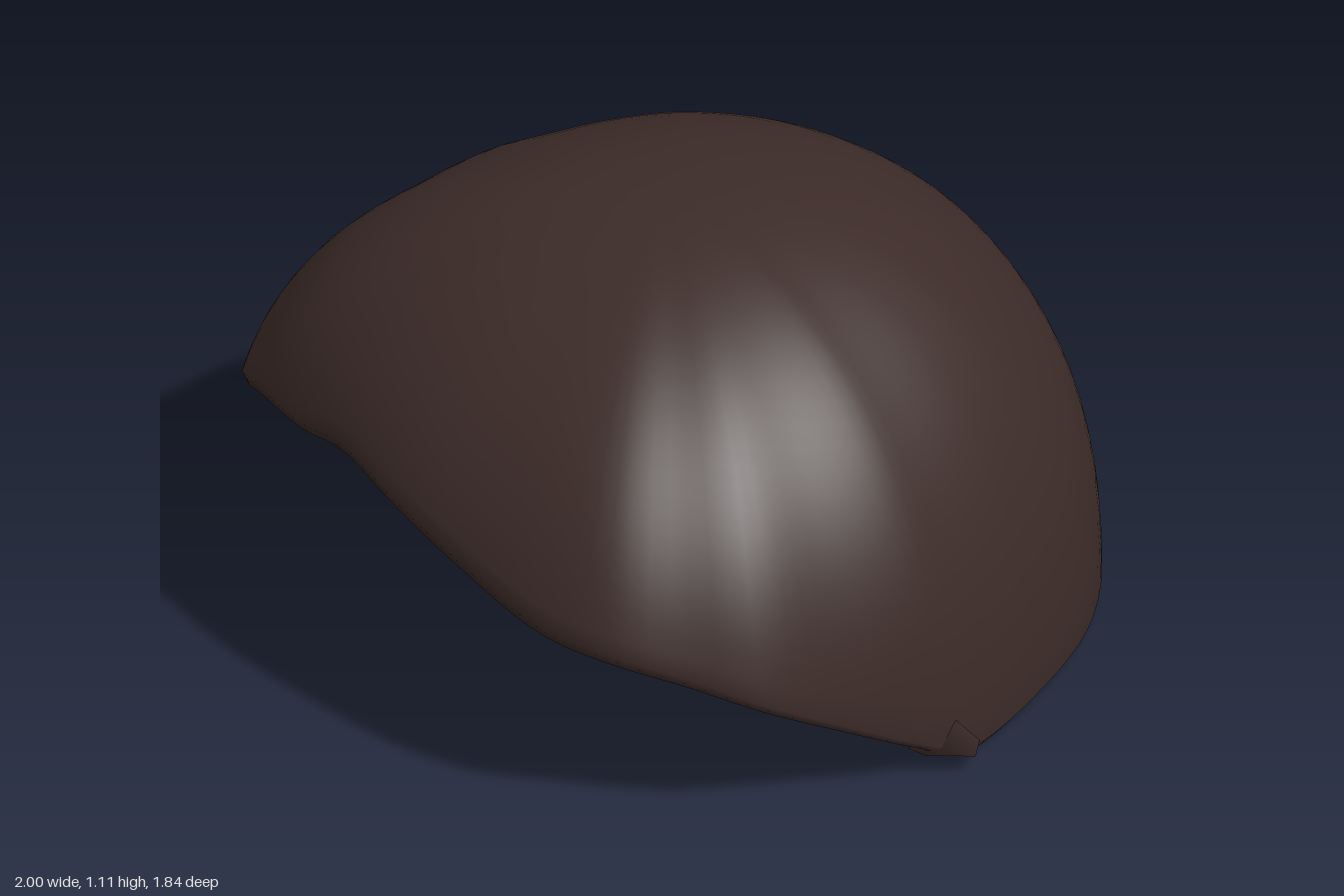
import * as THREE from 'three';
import { mergeVertices } from 'three/addons/utils/BufferGeometryUtils.js';
import { ConvexGeometry } from 'three/addons/geometries/ConvexGeometry.js';

const APEX = new THREE.Vector3(0, 1.1, 0.1);
const COLUMNS = 120, ROWS = 26;

// Open edge of the cap: front brow, left side, nape, right side
const RIM = [
  [0, 0.61, 0.91], [0.2, 0.57, 0.915], [0.5, 0.5, 0.89], [0.67, 0.475, 0.825],
  [0.79, 0.42, 0.7], [0.89, 0.35, 0.57], [0.93, 0.22, 0.35], [0.95, 0.09, 0.13], [0.94, 0.02, 0],
  [0.85, 0.02, -0.3], [0.7, 0.025, -0.57], [0.4, 0.02, -0.82], [0, 0.025, -0.92],
  [-0.4, 0.02, -0.82], [-0.7, 0.025, -0.57], [-0.85, 0.02, -0.3], [-0.94, 0.02, 0],
  [-0.95, 0.09, 0.13], [-0.94, 0.22, 0.35], [-0.9, 0.36, 0.56], [-0.8, 0.46, 0.69],
  [-0.64, 0.55, 0.785], [-0.4, 0.6, 0.855], [-0.24, 0.635, 0.875],
].map(p => new THREE.Vector3(...p));

// One rib: down the outside from the crown, round the lip, back up the inside
function rib(rim) {
  const dx = rim.x - APEX.x, dz = rim.z - APEX.z;
  const forward = Math.max(0, dz / Math.hypot(dx, dz));
  const power = 2 / THREE.MathUtils.lerp(2.28, 2, forward);
  // Towards the brow the curve stops early, so it meets the rim at a slope
  const end = Math.PI / 2 * (1 - 0.17 * THREE.MathUtils.smoothstep(forward, 0, 0.8));
  const sin = t => Math.sin(t * end) ** power;
  const cos = t => Math.max(0, Math.cos(t * end)) ** power;
  const at = (t, scale, rimY, topY) => {
    const f = sin(t) / sin(1) * scale;
    const g = (cos(t) - cos(1)) / (1 - cos(1));
    return [APEX.x + dx * f, rimY + (topY - rimY) * g, APEX.z + dz * f];
  };
  const points = [];
  for (let j = 0; j <= ROWS; j++) points.push(at(j / ROWS, 1, rim.y, APEX.y));
  points.push(at(1, 0.985, rim.y - 0.018 - 0.02 * forward, APEX.y));
  for (let j = ROWS; j >= 0; j--) points.push(at(j / ROWS, 0.955, rim.y + 0.005, APEX.y - 0.04));
  return points;
}

function capGeometry() {
  const curve = new THREE.CatmullRomCurve3(RIM, true, 'centripetal');
  const position = [], index = [];
  const stride = 2 * ROWS + 3;
  for (let i = 0; i < COLUMNS; i++) {
    position.push(...rib(curve.getPointAt(i / COLUMNS)).flat());
    const a = i * stride, b = ((i + 1) % COLUMNS) * stride;
    for (let j = 0; j < stride - 1; j++) {
      index.push(a + j, a + j + 1, b + j + 1, a + j, b + j + 1, b + j);
    }
  }
  const geometry = new THREE.BufferGeometry();
  geometry.setAttribute('position', new THREE.Float32BufferAttribute(position, 3));
  geometry.setIndex(index);
  return smooth(geometry);
}

function smooth(geometry) {
  geometry.deleteAttribute('normal');
  const merged = mergeVertices(geometry, 1e-5);
  merged.computeVertexNormals();
  return merged;
}

// Small pointed flick at the lower corner of each side
function tabGeometry(side) {
  return smooth(new ConvexGeometry([
    [0.925, 0.02, -0.05], [1, 0.04, 0.025], [0.935, 0.05, 0.12],
    [0.935, 0.13, 0.04], [0.9, 0, -0.05], [0.9, 0.06, 0.14],
  ].map(([x, y, z]) => new THREE.Vector3(side * x, y, z))));
}

export function createModel() {
  const model = new THREE.Group();
  model.name = 'hairCap';
  const material = new THREE.MeshStandardMaterial({ color: 0x3c2b28, side: THREE.DoubleSide });
  const add = (name, geometry) => {
    const mesh = new THREE.Mesh(geometry, material);
    mesh.name = name;
    model.add(mesh);
  };
  add('capShell', capGeometry());
  add('leftTab', tabGeometry(1));
  add('rightTab', tabGeometry(-1));
  return model;
}
